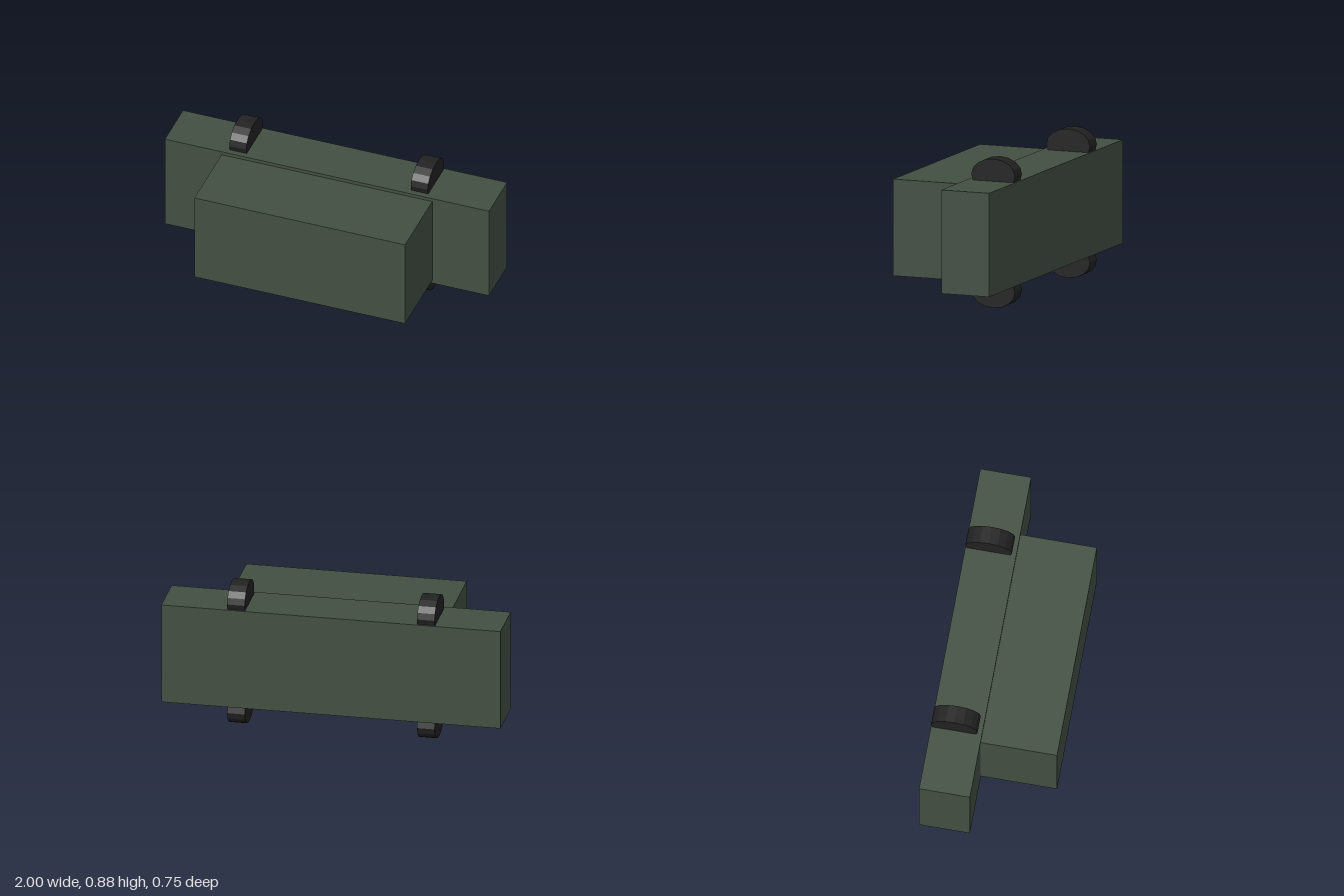
import * as THREE from 'three';

export function createModel() {
  const model = new THREE.Group();
  const green = new THREE.MeshStandardMaterial({ color: 0x434f42 });
  green.name = 'dark green';
  const black = new THREE.MeshStandardMaterial({ color: 0x222222, flatShading: true });
  black.name = 'black';

  const addBox = (name, w, y0, y1, z0, z1) => {
    const box = new THREE.Mesh(new THREE.BoxGeometry(w, y1 - y0, z1 - z0), green);
    box.position.set(0, (y0 + y1) / 2, (z0 + z1) / 2);
    box.name = name;
    model.add(box);
  };

  // Wide rear body and the narrower block in front of it
  addBox('rearBody', 2, 0.135, 0.743, -0.374, -0.075);
  addBox('frontBlock', 1.3, 0.155, 0.722, -0.075, 0.374);

  // Flattened discs, half sunk into the top and bottom of the rear body
  const disc = new THREE.CylinderGeometry(1, 1, 0.104, 16).rotateZ(Math.PI / 2);
  disc.scale(1, 0.097, 0.137);
  for (const [level, y] of [['upper', 0.778], ['lower', 0.097]]) {
    for (const [side, x] of [['Left', 0.56], ['Right', -0.56]]) {
      const wheel = new THREE.Mesh(disc, black);
      wheel.position.set(x, y, -0.237);
      wheel.name = `${level}${side}Wheel`;
      model.add(wheel);
    }
  }
  return model;
}
